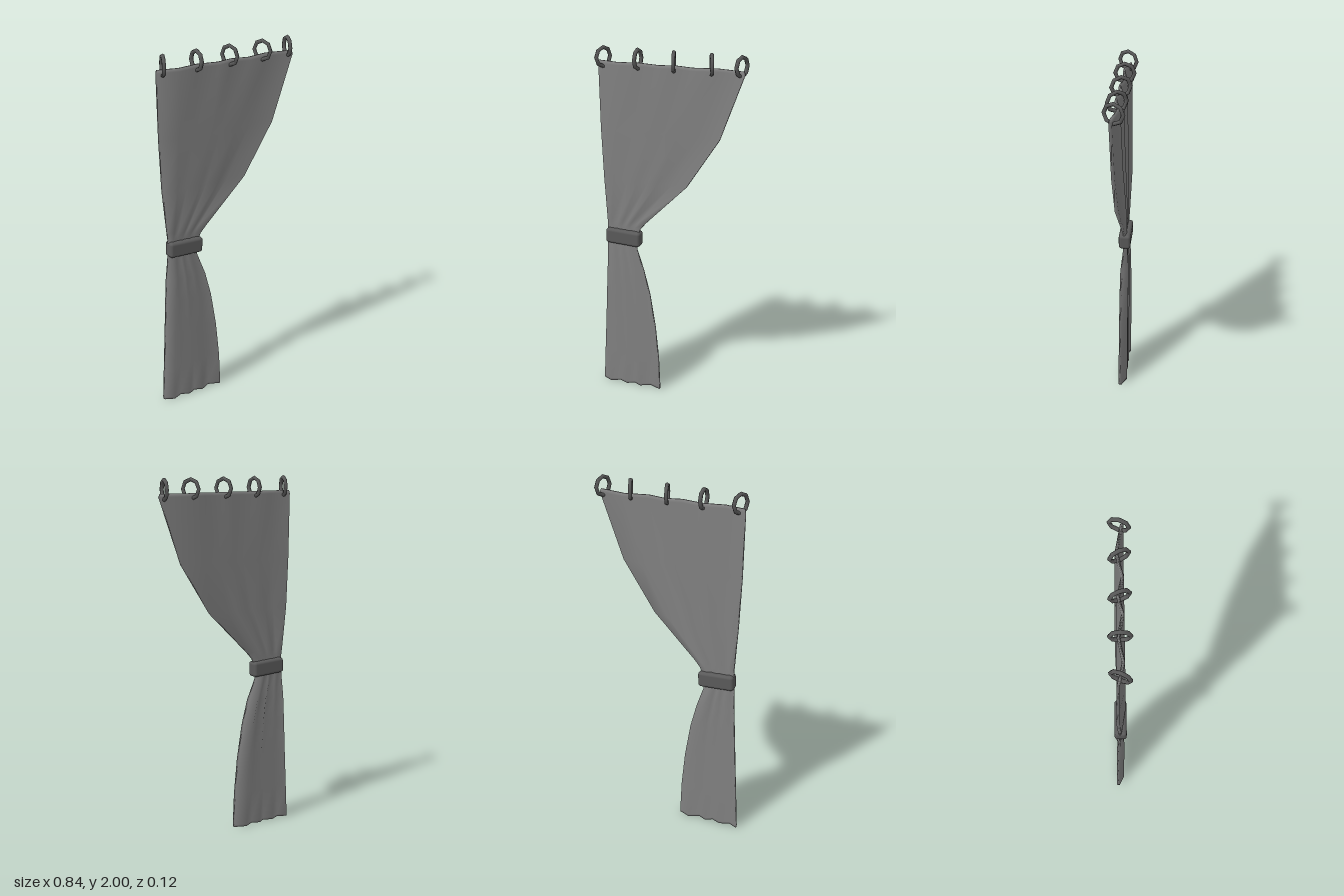
import * as THREE from 'three';
import { RoundedBoxGeometry } from 'three/addons/geometries/RoundedBoxGeometry.js';

// Relative position and z offset of each fold along the cloth's width
const FOLDS = [[0, -0.012], [0.14, 0.014], [0.29, -0.008], [0.43, 0.014],
  [0.54, -0.008], [0.66, 0.014], [0.82, -0.014], [1, 0.014]];

// Rows from hem to heading: y, left x, right x, fold depth, half thickness
const ROWS = [
  [0, -0.424, -0.062, 1, 0.008],
  [0.012, -0.424, -0.062, 1, 0.009],
  [0.2, -0.415, -0.07, 1, 0.009],
  [0.4, -0.405, -0.09, 1, 0.009],
  [0.6, -0.396, -0.123, 1, 0.009],
  [0.74, -0.389, -0.16, 0.95, 0.009],
  [0.86, -0.383, -0.203, 0.3, 0.006],
  [0.92, -0.38, -0.2, 0.2, 0.005],
  [0.98, -0.379, -0.18, 0.3, 0.006],
  [1.02, -0.382, -0.145, 0.5, 0.007],
  [1.26, -0.4, 0.098, 1.15, 0.01],
  [1.54, -0.413, 0.282, 1.1, 0.009],
  [1.9, -0.42, 0.415, 1, 0.008],
  [1.917, -0.418, 0.41, 1, 0.004],
];

// Closed, folded sheet: each row is a loop running along the front and back again
function clothGeometry() {
  const n = FOLDS.length, loop = 2 * n, pos = [], idx = [];
  for (const [y, xl, xr, depth, t] of ROWS) {
    for (let j = 0; j < loop; j++) {
      const front = j < n;
      const [u, z] = FOLDS[front ? j : loop - 1 - j];
      pos.push(xl + (xr - xl) * u, y, z * depth + (front ? t : -t));
    }
  }
  for (let r = 0; r < ROWS.length - 1; r++) {
    for (let j = 0; j < loop; j++) {
      const k = (j + 1) % loop;
      const a = r * loop + j, b = r * loop + k, c = b + loop, d = a + loop;
      idx.push(a, b, c, a, c, d);
    }
  }
  // Hem and heading edges
  const top = (ROWS.length - 1) * loop;
  for (let j = 0; j < n - 1; j++) {
    const a = j, b = j + 1, c = loop - 2 - j, d = loop - 1 - j;
    idx.push(a, c, b, a, d, c);
    idx.push(top + a, top + b, top + c, top + a, top + c, top + d);
  }
  const g = new THREE.BufferGeometry();
  g.setAttribute('position', new THREE.Float32BufferAttribute(pos, 3));
  g.setIndex(idx);
  g.computeVertexNormals();
  return g;
}

export function createModel() {
  const model = new THREE.Group();
  model.name = 'curtain';
  const fabric = new THREE.MeshStandardMaterial({ color: 0x808080 });
  fabric.name = 'grey fabric';
  const dark = new THREE.MeshStandardMaterial({ color: 0x5a5a5a });
  dark.name = 'dark grey';

  const cloth = new THREE.Mesh(clothGeometry(), fabric);
  cloth.name = 'cloth';
  model.add(cloth);

  // Tieback gathered around the waist of the cloth
  const tieback = new THREE.Mesh(new RoundedBoxGeometry(0.206, 0.086, 0.067, 2, 0.016), dark);
  tieback.name = 'tieback';
  tieback.position.set(-0.28, 0.923, 0.001);
  tieback.rotation.z = -0.04;
  model.add(tieback);

  // Hanging rings: x and turn about the vertical
  const rings = new THREE.Group();
  rings.name = 'rings';
  const ringGeometry = new THREE.TorusGeometry(0.051, 0.011, 6, 8);
  for (const [x, turn] of [[-0.388, 1.18], [-0.187, 1.58], [0.018, 1.88], [0.228, 1.96], [0.392, 1.28]]) {
    const ring = new THREE.Mesh(ringGeometry, dark);
    ring.name = 'ring';
    ring.position.set(x, 1.938, 0);
    ring.rotation.y = turn;
    rings.add(ring);
  }
  model.add(rings);
  return model;
}
